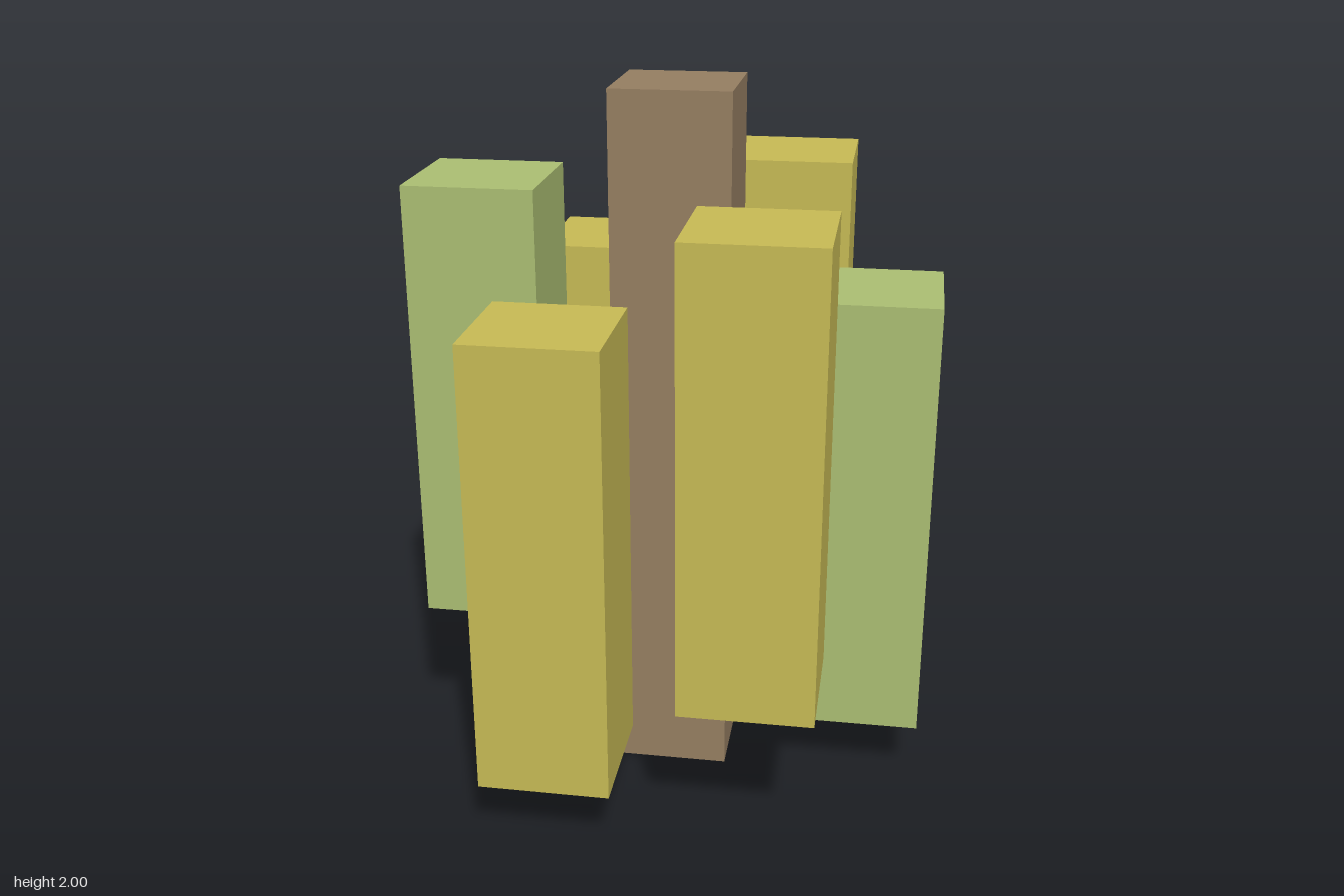
import * as THREE from 'three';

const yellow = new THREE.MeshStandardMaterial({ name: 'mustard yellow', color: 0xc8bb55 });
const green = new THREE.MeshStandardMaterial({ name: 'leaf green', color: 0xacbf73 });
const brown = new THREE.MeshStandardMaterial({ name: 'bark brown', color: 0x967f62 });

// Square upright block standing on a given height
function block(name, material, width, height, x, bottom, z) {
  const mesh = new THREE.Mesh(new THREE.BoxGeometry(width, height, width), material);
  mesh.name = name;
  mesh.position.set(x, bottom + height / 2, z);
  return mesh;
}

export function createModel() {
  const model = new THREE.Group();
  model.name = 'blockTree';

  // Central trunk
  model.add(block('trunk', brown, 0.327, 2, 0, 0, 0));

  // Ring of foliage columns, in two alternating heights
  const low = 0.184, high = 0.46, width = 0.364, height = 1.273;
  for (const [side, label] of [[1, 'left'], [-1, 'right']]) {
    model.add(block(label + 'GreenColumn', green, width, height, side * 0.545, side > 0 ? low : high, 0));
    for (const [end, place] of [[1, 'Front'], [-1, 'Back']]) {
      model.add(block(label + place + 'YellowColumn', yellow, width, height,
        side * 0.273, side > 0 ? high : low, end * 0.473));
    }
  }
  return model;
}
